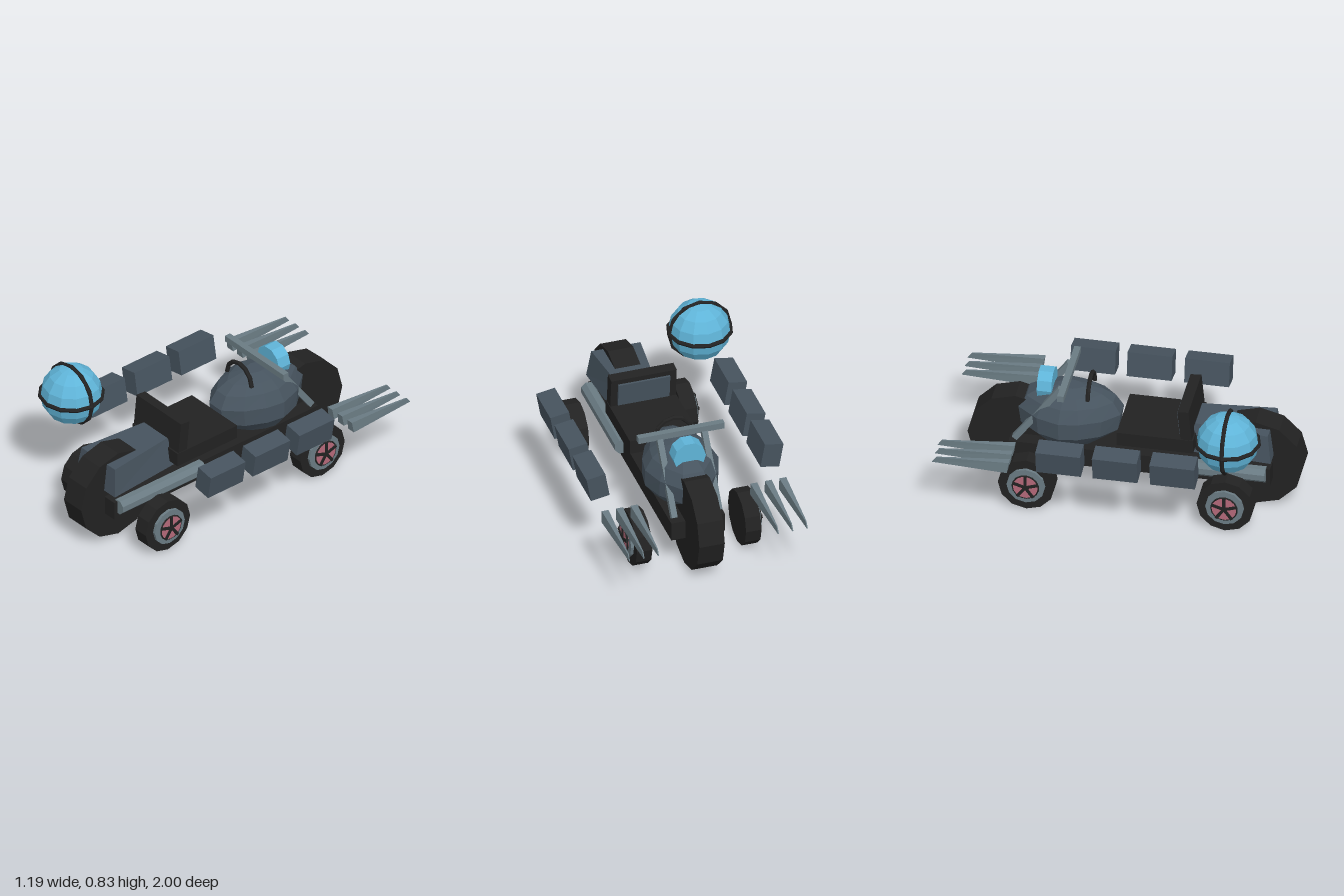
import * as THREE from 'three';

const mat = (name, color) => new THREE.MeshStandardMaterial({ name, color, flatShading: true });

export function createModel() {
  const black = mat('black', 0x222222), slate = mat('slate', 0x46535e), steel = mat('steel', 0x6a7b83);
  const blue = mat('lamp blue', 0x5fb4d8), pink = mat('hub pink', 0xb5697a);

  const root = new THREE.Group();
  root.name = 'motorcycle';
  const bike = new THREE.Group(); // everything mirrors about the bike's own centre line
  bike.name = 'bike';
  bike.position.x = 0.0225;
  root.add(bike);

  const add = (name, geo, material, x = 0, y = 0, z = 0, parent = bike) => {
    const m = new THREE.Mesh(geo, material);
    m.name = name;
    m.position.set(x, y, z);
    parent.add(m);
    return m;
  };
  const box = (w, h, d) => new THREE.BoxGeometry(w, h, d);
  const disc = (r, w, n = 12) => new THREE.CylinderGeometry(r, r, w, n).rotateZ(Math.PI / 2);
  const reshape = (geo, rule) => {
    const p = geo.attributes.position, v = new THREE.Vector3();
    for (let i = 0; i < p.count; i++) {
      rule(v.fromBufferAttribute(p, i));
      p.setXYZ(i, v.x, v.y, v.z);
    }
    geo.computeVertexNormals();
    return geo;
  };
  // Skin over equally sized rings stacked upward, capped at both ends
  const loft = (rings) => {
    const n = rings[0].length, pos = [];
    const tri = (...pts) => pts.forEach((p) => pos.push(...p));
    for (let k = 0; k < rings.length - 1; k++) {
      for (let i = 0; i < n; i++) {
        const j = (i + 1) % n, a = rings[k], b = rings[k + 1];
        tri(a[i], a[j], b[j]);
        tri(a[i], b[j], b[i]);
      }
    }
    const low = rings[0], top = rings[rings.length - 1];
    for (let i = 1; i < n - 1; i++) {
      tri(top[0], top[i], top[i + 1]);
      tri(low[0], low[i + 1], low[i]);
    }
    const g = new THREE.BufferGeometry();
    g.setAttribute('position', new THREE.Float32BufferAttribute(pos, 3));
    g.computeVertexNormals();
    return g;
  };

  // Frame and the two large wheels
  add('frame', box(0.312, 0.112, 1.47), black, 0, 0.243, 0.095);
  add('rearWheel', disc(0.268, 0.148), black, 0, 0.278, 0.732);
  add('frontWheel', disc(0.268, 0.148), black, 0, 0.278, -0.618);

  // Tail fairing: narrower to the front and the top, sloped front end
  add('tailFairing', reshape(box(2, 2, 2), (v) => {
    const up = v.y > 0, back = v.z > 0;
    const half = back ? (up ? 0.143 : 0.166) : (up ? 0.1 : 0.125);
    v.set(v.x * half, up ? (back ? 0.508 : 0.515) : 0.343, back ? (up ? 0.815 : 0.835) : (up ? 0.4 : 0.335));
  }), slate);

  // Seat and backrest with its inset pad
  add('seat', box(0.387, 0.083, 0.43), black, 0, 0.417, 0.19);
  const rest = new THREE.Group();
  rest.name = 'backrest';
  rest.position.set(0, 0.54, 0.357);
  rest.rotation.x = -0.1;
  bike.add(rest);
  add('backrestFrame', box(0.38, 0.2, 0.062), black, 0, 0, 0, rest);
  add('backrestPad', box(0.3, 0.14, 0.015), slate, 0, 0.0, -0.036, rest);

  // Faceted tank, pointed toward the seat
  const outline = [[0.05, -0.03], [0.14, -0.12], [0.195, -0.24], [0.213, -0.35], [0.17, -0.48], [0.075, -0.6]];
  const plan = [...outline, ...outline.map(([x, z]) => [-x, z]).reverse()];
  const tankRings = [[0.3, 0.72, 0.6], [0.38, 1, 0.95], [0.48, 1, 1], [0.55, 0.8, 0.85], [0.59, 0.55, 0.62], [0.615, 0.22, 0.25]];
  add('tank', loft(tankRings.map(([y, sx, sz]) => plan.map(([x, z]) => [x * sx, y, -0.32 + (z + 0.32) * sz]))), slate);
  add('tankHandle', new THREE.TorusGeometry(0.104, 0.013, 6, 6, Math.PI), black, 0, 0.588, -0.205);

  // Handlebar, fork and headlight
  add('handlebar', box(0.5, 0.037, 0.037), steel, 0, 0.68, -0.33);
  add('headlight', new THREE.CylinderGeometry(0.094, 0.094, 0.082, 10).rotateX(Math.PI / 2).rotateZ(Math.PI / 10),
    blue, 0, 0.612, -0.453);

  for (const s of [-1, 1]) {
    const fork = add('forkLeg', box(0.034, 0.44, 0.035), steel, s * 0.13, 0.49, -0.48);
    fork.rotation.x = 0.63;

    add('exhaustPipe', new THREE.CylinderGeometry(0.046, 0.046, 0.6, 8).rotateY(Math.PI / 8).rotateX(Math.PI / 2),
      steel, s * 0.161, 0.267, 0.508);

    // Arm blocks, leaning outward
    for (const z of [-0.283, 0.035, 0.358]) {
      const arm = add('armBlock', box(0.11, 0.146, 0.252), slate, s * 0.505, 0.465, z);
      arm.rotation.z = -s * 0.175;
    }

    // Claws tapering to a thin upright edge
    for (const x of [0.348, 0.432, 0.516]) {
      add('claw', reshape(box(2, 2, 2), (v) => {
        const up = v.y > 0;
        if (v.z > 0) v.set(v.x * (up ? 0.02 : 0.025), up ? 0.415 : 0.35, up ? -0.565 : -0.575);
        else v.set(v.x * 0.003, up ? 0.39 : 0.356, up ? -0.975 : -1);
      }), steel, s * x);
    }

    // Small outrigger wheels with five-spoke hubs
    for (const z of [0.617, -0.5]) {
      const wheel = new THREE.Group();
      wheel.name = 'sideWheel';
      wheel.position.set(s * 0.317, 0.163, z);
      bike.add(wheel);
      add('tyre', disc(0.16, 0.09), black, 0, 0, 0, wheel);
      add('rim', disc(0.108, 0.018), steel, s * 0.053, 0, 0, wheel);
      add('hub', disc(0.071, 0.014), pink, s * 0.067, 0, 0, wheel);
      add('hubRing', new THREE.TorusGeometry(0.072, 0.006, 4, 15).rotateY(Math.PI / 2), black, s * 0.07, 0, 0, wheel);
      for (let k = 0; k < 5; k++) {
        const spoke = add('spoke', box(0.01, 0.076, 0.017).translate(0, 0.038, 0), black, s * 0.075, 0, 0, wheel);
        spoke.rotation.x = (k * Math.PI * 2) / 5;
      }
    }
  }

  // Globe with two crossing bands, on the right side only
  const globe = new THREE.Group();
  globe.name = 'globe';
  globe.position.set(-0.408, 0.645, 0.645);
  root.add(globe);
  add('globeBall', new THREE.SphereGeometry(0.174, 12, 8), blue, 0, 0, 0, globe);
  add('uprightBand', new THREE.TorusGeometry(0.175, 0.013, 6, 12), black, 0, 0, 0, globe);
  add('levelBand', new THREE.TorusGeometry(0.175, 0.013, 6, 12).rotateX(Math.PI / 2), black, 0, 0, 0, globe);

  return root;
}
